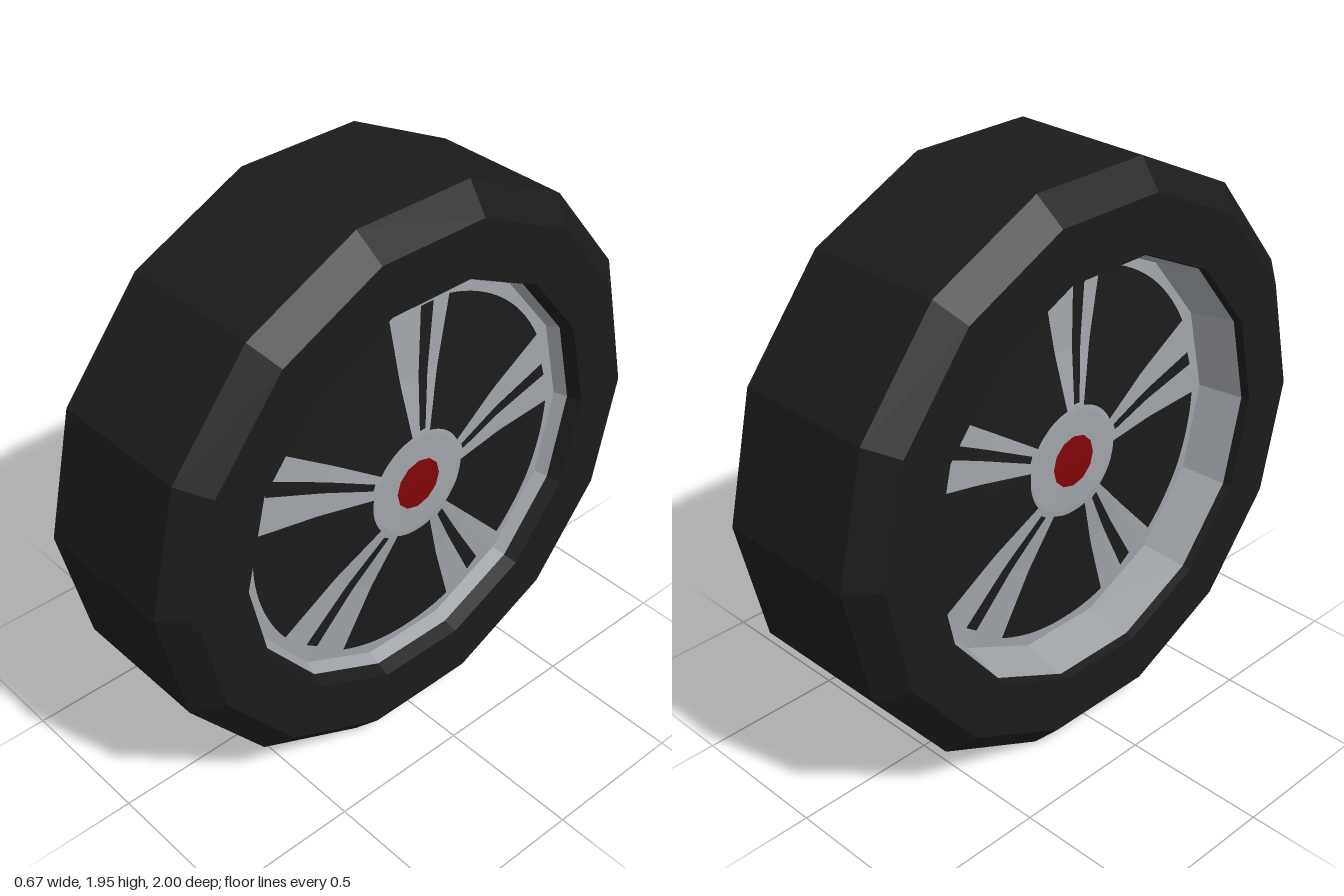
import * as THREE from 'three';

const SIDES = 14;
const mat = (name, color) => Object.assign(new THREE.MeshStandardMaterial({ color }), { name });

// Flat-faced mesh: every face gets its own normals
function facetMesh(name, geometry, material) {
  const g = geometry.index ? geometry.toNonIndexed() : geometry;
  g.computeVertexNormals();
  const mesh = new THREE.Mesh(g, material);
  mesh.name = name;
  return mesh;
}

// Ring of facets around the x axis from [radius, x] pairs
function ring(name, profile, material) {
  const g = new THREE.LatheGeometry(profile.map(([r, x]) => new THREE.Vector2(r, x)), SIDES);
  g.rotateZ(-Math.PI / 2);
  return facetMesh(name, g, material);
}

// Slightly domed wheel face: [radius, height above its rim]
const DOME = [[0.685, 0], [0.4, 0.018], [0.18, 0.048], [0.001, 0.05]];

// Height of the faceted dome at a point of the wheel face
function domeHeight(a, b) {
  const step = (2 * Math.PI) / SIDES;
  const angle = Math.atan2(b, a) + 2 * Math.PI;
  const r = Math.hypot(a, b) * Math.cos((angle % step) - step / 2) / Math.cos(step / 2);
  for (let i = 1; i < DOME.length; i++) {
    const [r0, h0] = DOME[i - 1], [r1, h1] = DOME[i];
    if (r >= r1) return h0 + (h1 - h0) * (r0 - r) / (r0 - r1);
  }
  return DOME.at(-1)[1];
}

// Thin painted patch on the dome; at(u, v) gives the point, u outward, v counterclockwise
function patch(name, at, nu, nv, depth, material) {
  const pos = [], index = [];
  for (let i = 0; i <= nu; i++) {
    for (let j = 0; j <= nv; j++) {
      const [a, b] = at(i / nu, j / nv);
      pos.push(depth + domeHeight(a, b) + 0.004, b, -a);
      if (i < nu && j < nv) {
        const p = i * (nv + 1) + j, q = p + nv + 1;
        index.push(p, q, q + 1, p, q + 1, p + 1);
      }
    }
  }
  const g = new THREE.BufferGeometry();
  g.setAttribute('position', new THREE.Float32BufferAttribute(pos, 3));
  g.setIndex(index);
  return facetMesh(name, g, material);
}

// Start and end angle, in degrees, of each opening between spokes
const OPENINGS = [[27, 76], [98.5, 146], [171, 215], [244, 288], [313, 359.5]];

// Tyre sidewall edge around the rim: radius and distance from the middle
const LIP = [0.72, 0.335];

// One face of the wheel, looking along +x, with its rim at the given depth
function wheelFace(name, depth, paintEdge, silver, black, red) {
  const rad = Math.PI / 180, lerp = THREE.MathUtils.lerp;
  const face = new THREE.Group();
  face.name = name;

  // Sloping wall of the recess: black near the tyre, silver inside
  const f = (paintEdge - depth) / (LIP[1] - depth);
  const change = [lerp(0.685, LIP[0], f), paintEdge];
  face.add(ring('rimEdge', [LIP, change], black));
  face.add(ring('rimWall', [change, [0.685, depth]], silver));
  face.add(ring('spokeDisc', DOME.map(([r, h]) => [r, depth + h]), silver));

  // Wide openings between the spokes
  for (const [start, end] of OPENINGS) {
    face.add(patch('spokeOpening', (u, v) => {
      const r = lerp(0.19, 0.635, u), t = lerp(start, end, v) * rad;
      return [r * Math.cos(t), r * Math.sin(t)];
    }, 14, 16, depth, black));
  }

  // Narrow slots splitting each spoke in two
  for (let k = 0; k < 5; k++) {
    const c = Math.cos(72 * k * rad), s = Math.sin(72 * k * rad);
    face.add(patch('spokeSlot', (u, v) => {
      const r = lerp(0.2, 0.62, u);
      const t = lerp(lerp(0.028, 0.088, u), lerp(0.004, 0.035, u), v);
      return [t * c - r * s, t * s + r * c];
    }, 12, 2, depth, black));
  }

  // Round centre cap
  face.add(patch('centreCap', (u, v) => {
    const r = 0.09 * u, t = 2 * Math.PI * v;
    return [r * Math.cos(t), r * Math.sin(t)];
  }, 1, 12, depth, red));
  return face;
}

export function createModel() {
  const black = mat('tyre black', 0x1b1b1b);
  const silver = mat('rim silver', 0x9fa3a8);
  const red = mat('cap red', 0x800509);

  const wheel = new THREE.Group();
  wheel.name = 'wheel';
  wheel.add(ring('tyre', [
    [LIP[0], -LIP[1]], [0.91, -0.335], [1, -0.25], [1, 0.25], [0.91, 0.335], LIP,
  ], black));

  // The left face is shallow, the right face sits deeper
  wheel.add(wheelFace('leftFace', 0.243, 0.288, silver, black, red));
  const right = wheelFace('rightFace', 0.145, 0.305, silver, black, red);
  right.rotation.y = Math.PI;
  wheel.add(right);

  wheel.position.y = Math.cos(Math.PI / SIDES);
  const model = new THREE.Group();
  model.name = 'roadWheel';
  model.add(wheel);
  return model;
}
